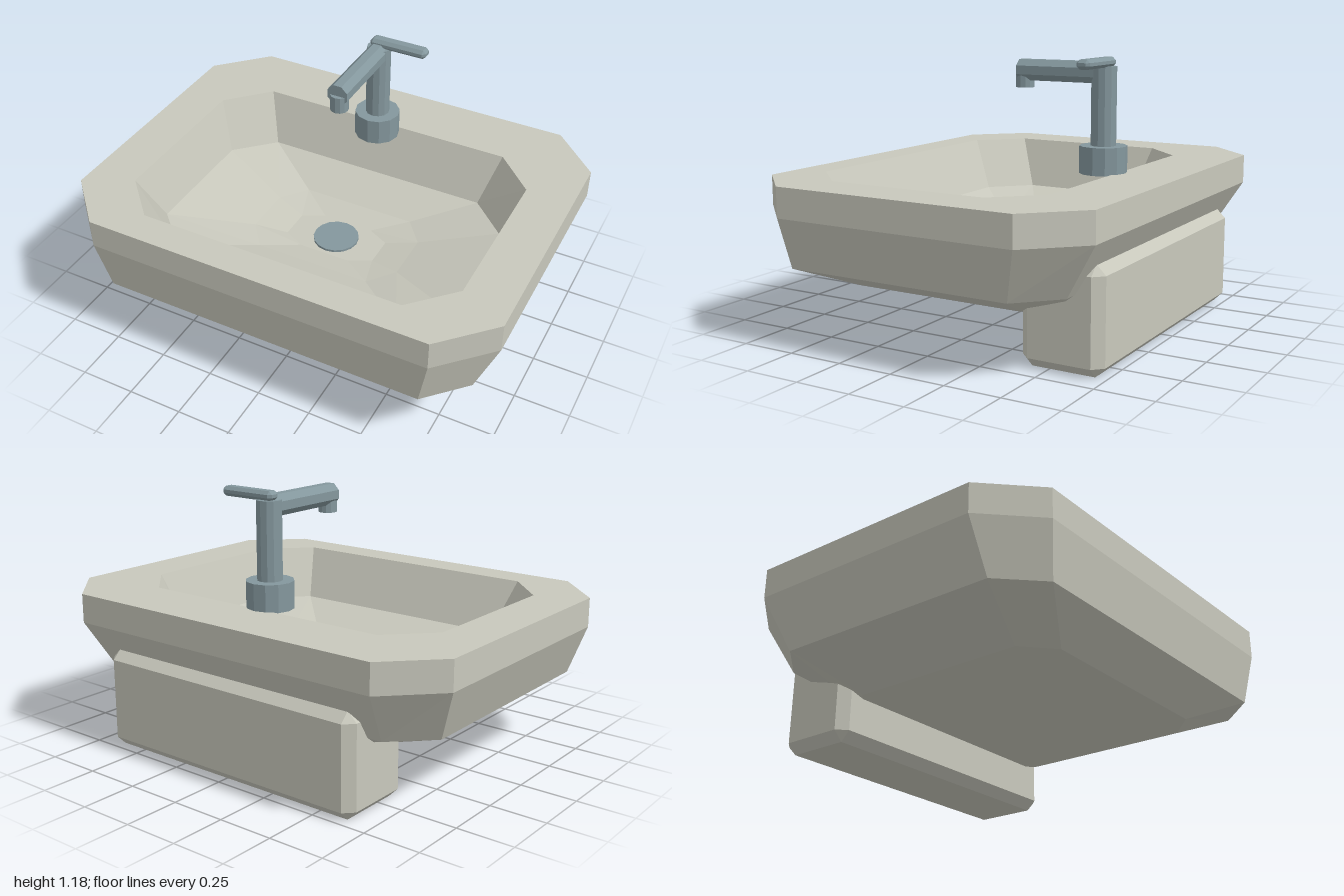
import * as THREE from 'three';
import { ConvexGeometry } from 'three/addons/geometries/ConvexGeometry.js';

const mat = (name, color) => new THREE.MeshStandardMaterial({ name, color, flatShading: true });

// Chamfered rectangle at height y, counter-clockwise seen from above
function ring(y, hx, cx, back, cBack, cFront, front) {
  return [[hx, cFront], [hx, cBack], [cx, back], [-cx, back],
    [-hx, cBack], [-hx, cFront], [-cx, front], [cx, front]].map(([x, z]) => [x, y, z]);
}

// Skin joining successive rings, closed at both ends
function loft(rings) {
  const pos = [], n = rings[0].length;
  const tri = (...p) => p.forEach(v => pos.push(...v));
  for (let r = 0; r < rings.length - 1; r++) {
    const lo = rings[r], hi = rings[r + 1];
    for (let i = 0; i < n; i++) {
      const j = (i + 1) % n;
      tri(lo[i], lo[j], hi[j]);
      tri(lo[i], hi[j], hi[i]);
    }
  }
  const first = rings[0], last = rings[rings.length - 1];
  for (let i = 1; i < n - 1; i++) {
    tri(first[0], first[i + 1], first[i]);
    tri(last[0], last[i], last[i + 1]);
  }
  const g = new THREE.BufferGeometry();
  g.setAttribute('position', new THREE.Float32BufferAttribute(pos, 3));
  g.computeVertexNormals();
  return g;
}

// Box with every edge cut by a bevel b
function bevelBox(w, h, d, b) {
  const pts = [], x = w / 2, y = h / 2, z = d / 2;
  for (const sx of [-1, 1]) for (const sy of [-1, 1]) for (const sz of [-1, 1]) {
    pts.push(
      new THREE.Vector3(sx * x, sy * (y - b), sz * (z - b)),
      new THREE.Vector3(sx * (x - b), sy * y, sz * (z - b)),
      new THREE.Vector3(sx * (x - b), sy * (y - b), sz * z));
  }
  return new ConvexGeometry(pts);
}

export function createModel() {
  const group = new THREE.Group();
  group.name = 'washbasin';
  const ceramic = mat('ceramic', 0xc8c8bc);
  const metal = mat('metal', 0x84979d);

  const add = (parent, name, geo, material, x, y, z) => {
    const m = new THREE.Mesh(geo, material);
    m.name = name;
    m.position.set(x, y, z);
    parent.add(m);
    return m;
  };
  const post = (r, y0, y1, sides = 12) => new THREE.CylinderGeometry(r, r, y1 - y0, sides);

  // Basin: up the outside, over the rim, down into the bowl
  add(group, 'basin', loft([
    ring(0.2, 0.6, 0.47, -0.46, -0.35, 0.455, 0.575),
    ring(0.325, 0.905, 0.74, -0.63, -0.47, 0.565, 0.735),
    ring(0.555, 1, 0.785, -0.77, -0.55, 0.55, 0.77),
    ring(0.685, 1, 0.785, -0.77, -0.55, 0.55, 0.77),
    ring(0.685, 0.785, 0.605, -0.48, -0.295, 0.44, 0.625),
    ring(0.455, 0.705, 0.535, -0.39, -0.225, 0.345, 0.51),
    ring(0.365, 0.365, 0.27, -0.22, -0.1, 0.13, 0.25),
    ring(0.335, 0.22, 0.12, -0.11, -0.06, 0.08, 0.13),
  ]), ceramic, 0, 0, 0);

  // Wall bracket under the back of the basin
  add(group, 'wallBracket', bevelBox(1.35, 0.445, 0.36, 0.042), ceramic, 0, 0.2225, -0.56);

  // Drain plate
  add(group, 'drain', new THREE.CylinderGeometry(0.105, 0.105, 0.02, 16), metal, 0, 0.336, 0.01);

  // Tap
  const tap = new THREE.Group();
  tap.name = 'tap';
  group.add(tap);
  const tz = -0.41;
  add(tap, 'tapBase', post(0.104, 0.68, 0.8), metal, 0, 0.74, tz);
  add(tap, 'tapColumn', post(0.055, 0.79, 1.14), metal, 0, 0.965, tz);
  const spout = new THREE.CylinderGeometry(0.05, 0.05, 0.41, 8);
  spout.rotateY(Math.PI / 8).rotateX(Math.PI / 2);
  add(tap, 'spout', spout, metal, 0, 1.113, -0.205);
  add(tap, 'nozzle', post(0.041, 1.035, 1.11), metal, 0, 1.0725, -0.021);
  add(tap, 'handle', bevelBox(0.27, 0.042, 0.062, 0.014), metal, 0.095, 1.158, -0.42);
  return group;
}
